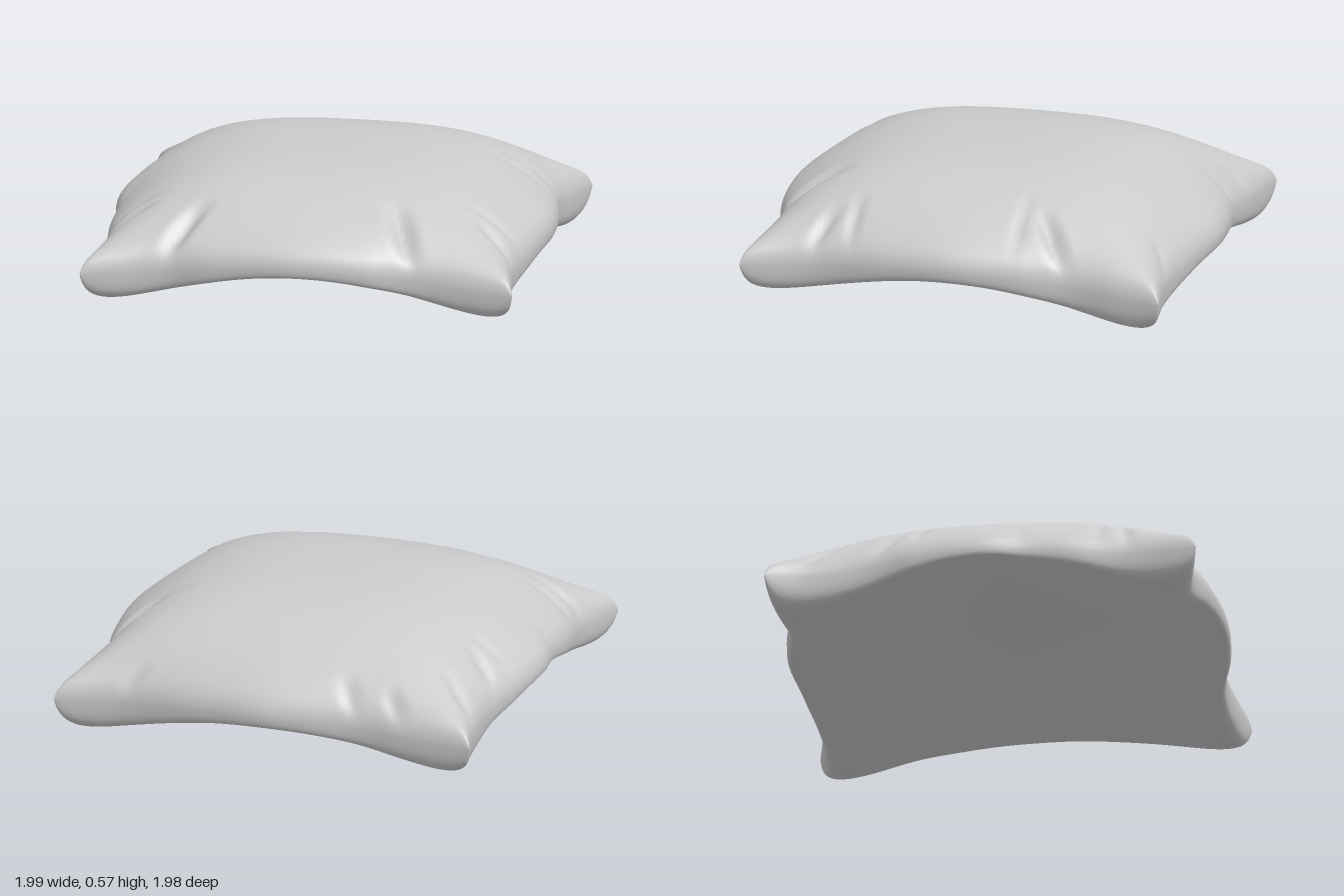
import * as THREE from 'three';
import { mergeGeometries, mergeVertices } from 'three/addons/utils/BufferGeometryUtils.js';

const N = 120;

// Smooth scalloped outline of one side: [position along side, distance from centre]
function outline(points) {
  const curve = new THREE.CatmullRomCurve3(
    points.map(([t, d]) => new THREE.Vector3(t, d, 0)), false, 'centripetal');
  const samples = curve.getPoints(200);
  return (t) => {
    let i = 1;
    while (i < samples.length - 1 && samples[i].x < t) i++;
    const a = samples[i - 1], b = samples[i];
    const k = THREE.MathUtils.clamp((t - a.x) / (b.x - a.x || 1), 0, 1);
    return a.y + (b.y - a.y) * k;
  };
}
const leftSide = outline([[-1, 0.985], [-0.8, 0.95], [-0.55, 0.915], [-0.3, 0.96], [0, 0.99], [0.3, 0.965], [0.66, 0.925], [1, 0.98]]);
const rightSide = outline([[-1, 0.995], [-0.82, 0.95], [-0.52, 0.935], [-0.3, 0.975], [0, 0.995], [0.2, 0.965], [0.4, 0.96], [0.66, 0.935], [1, 0.985]]);
const frontSide = outline([[-1, 0.97], [-0.63, 0.915], [-0.4, 0.95], [0, 0.985], [0.3, 0.965], [0.53, 0.915], [1, 0.97]]);
const backSide = outline([[-1, 0.975], [-0.65, 0.945], [-0.46, 0.935], [-0.2, 0.975], [0, 0.992], [0.3, 0.965], [0.7, 0.93], [1, 0.975]]);

// Cloth creases running inward from the rim: [x1, z1, x2, z2, width, depth]
const creases = [
  [-0.63, 0.95, -0.46, 0.68, 0.05, 0.05], [0.53, 0.95, 0.38, 0.64, 0.05, 0.05],
  [-0.97, 0.66, -0.72, 0.6, 0.035, 0.03], [-0.95, 0.52, -0.72, 0.51, 0.03, 0.022],
  [-0.98, 0.18, -0.86, 0.16, 0.025, 0.015], [-0.96, -0.5, -0.76, -0.36, 0.04, 0.03],
  [-0.96, -0.82, -0.74, -0.62, 0.04, 0.03], [-0.93, -0.3, -0.72, -0.28, 0.03, 0.02],
  [0.95, 0.67, 0.74, 0.57, 0.04, 0.035], [0.95, 0.48, 0.68, 0.48, 0.03, 0.025],
  [0.94, -0.53, 0.7, -0.35, 0.045, 0.045], [0.92, -0.28, 0.6, -0.28, 0.03, 0.02],
  [-0.68, -0.96, -0.55, -0.84, 0.04, 0.03], [-0.46, -0.96, -0.34, -0.83, 0.04, 0.03],
  [0.72, -0.95, 0.58, -0.86, 0.04, 0.03],
];
function creaseDepth(x, z) {
  let sum = 0;
  for (const [x1, z1, x2, z2, width, depth] of creases) {
    const dx = x2 - x1, dz = z2 - z1, len = Math.hypot(dx, dz);
    const along = ((x - x1) * dx + (z - z1) * dz) / (len * len);
    if (along < -0.2 || along > 1.2) continue;
    const across = ((x - x1) * dz - (z - z1) * dx) / len / width;
    const taper = Math.sin(Math.PI * (along + 0.2) / 1.4) ** 2;
    // groove with a soft fold raised on both flanks
    sum += depth * taper * Math.exp(-across * across) * (1 - 0.6 * across * across);
  }
  return sum;
}

// One face of the cushion; both faces meet in the middle of the rounded rim
function sheet(isTop) {
  const geo = new THREE.PlaneGeometry(2, 2, N, N);
  geo.rotateX(-Math.PI / 2);
  const pos = geo.attributes.position;
  const ease = (s) => (Math.abs(s) > 0.9999 ? Math.sign(s) : Math.sin(s * Math.PI / 2));
  for (let i = 0; i < pos.count; i++) {
    const u = ease(pos.getX(i)), v = ease(pos.getZ(i));
    const au = Math.abs(u), av = Math.abs(v);
    const sideX = u > 0 ? leftSide(v) : rightSide(v);
    const sideZ = v > 0 ? frontSide(u) : backSide(u);
    const x = u * (0.98 + (sideX - 0.98) * au ** 4);
    const z = v * (0.98 + (sideZ - 0.98) * av ** 4);

    const gu = (1 - u * u) ** 2.5, gv = (1 - v * v) ** 2.8;
    const inset = (n) => Math.max(0, (1 - au ** n) * (1 - av ** n));
    const rim = Math.sqrt(inset(14));
    const lip = 0.05 * Math.sqrt(inset(60));
    const seam = 0.16 + 0.015 * v + gu * (0.055 + 0.02 * v) + gv * 0.06 - gu * gv * 0.03;
    let y;
    if (isTop) {
      // puffed crown with full, cone-like corners
      const a = 1 - au ** 3, b = 1 - av ** 3;
      const puff = (a * b / Math.max(a + b - a * b, 1e-6)) ** 0.9;
      y = seam + lip + (0.52 - seam) * puff - creaseDepth(x, z) * rim;
    } else {
      // hems arch between the low corners, and the underside is hollowed
      const hem = -0.013 + 0.03 * v + gu * (0.165 + 0.015 * v) + gv * (0.18 - 0.025 * u) - gu * gv * 0.1;
      const edge = seam - lip;
      y = edge + (hem + 0.09 * inset(4) - edge) * rim;
    }
    pos.setXYZ(i, x, y, z);
  }
  if (!isTop) {
    const index = geo.index.array;
    for (let i = 0; i < index.length; i += 3) [index[i], index[i + 1]] = [index[i + 1], index[i]];
  }
  geo.deleteAttribute('uv');
  geo.deleteAttribute('normal');
  return geo;
}

export function createModel() {
  const group = new THREE.Group();
  group.name = 'cushion';

  // Weld the two faces along the rim so the shading stays smooth
  const geo = mergeVertices(mergeGeometries([sheet(true), sheet(false)]), 1e-5);
  geo.computeBoundingBox();
  geo.translate(0, -geo.boundingBox.min.y, 0);
  geo.computeVertexNormals();

  const cover = new THREE.Mesh(geo, new THREE.MeshStandardMaterial({ color: 0xcccccc }));
  cover.name = 'cushionCover';
  group.add(cover);
  return group;
}
